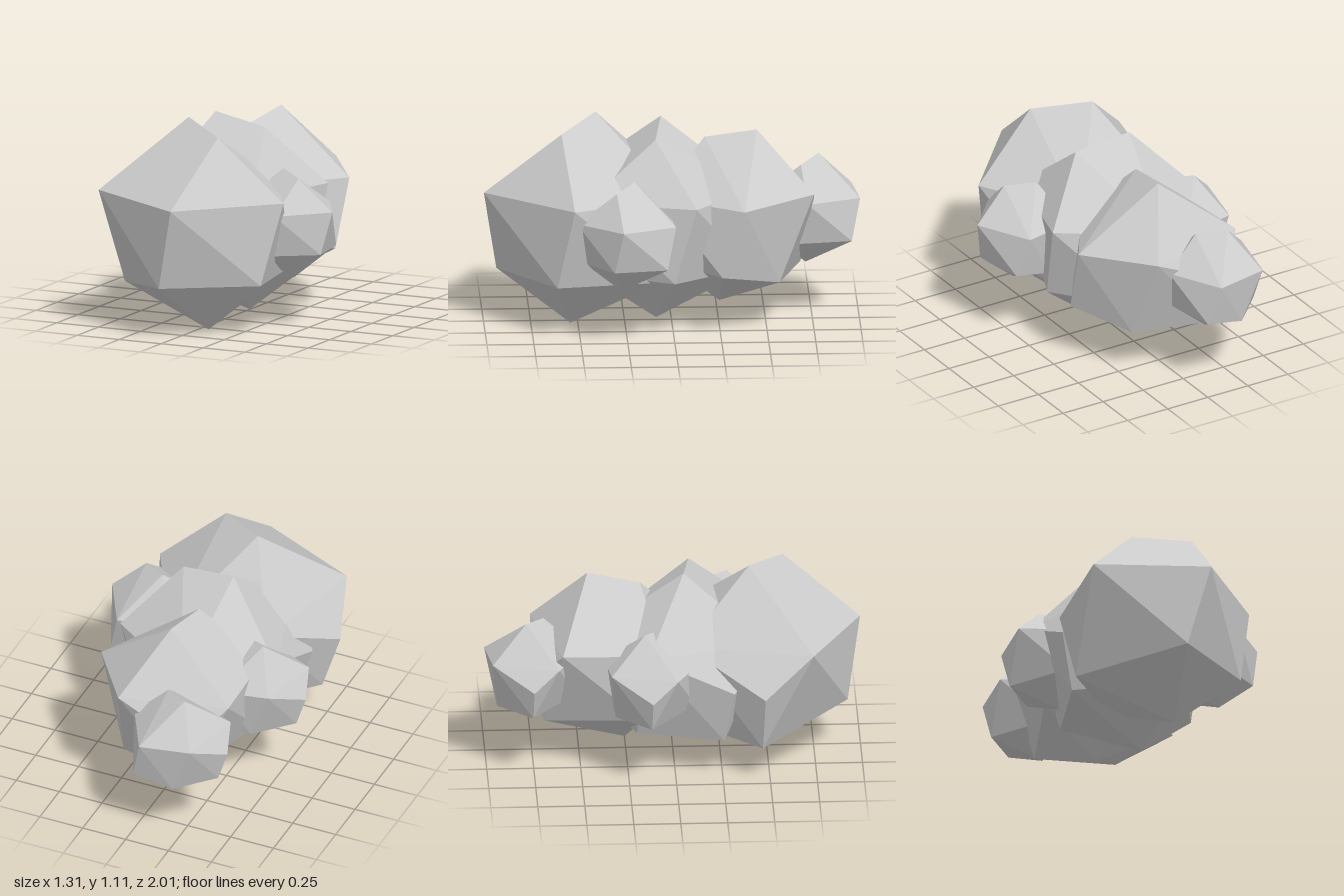
import * as THREE from 'three';
import { ConvexGeometry } from 'three/addons/geometries/ConvexGeometry.js';

// Corners of one faceted boulder, standing on y = 0
const corners = [
  // ridge
  [-0.14, 1.11, 0.40], [0.13, 1.055, 0.59],
  // upper ring
  [0.055, 0.72, 1.0], [0.49, 0.72, 0.53], [0.19, 0.71, -0.02],
  [-0.35, 0.74, 0.05], [-0.51, 0.74, 0.73],
  // side point
  [-0.59, 0.52, 0.47],
  // lower ring
  [-0.05, 0.28, 0.93], [0.40, 0.28, 0.62], [0.30, 0.28, 0.07],
  [-0.13, 0.19, 0.10], [-0.49, 0.20, 0.46],
  // foot
  [0.05, 0, 0.54],
].map(([x, y, z]) => new THREE.Vector3(x + 0.05, y, z - 0.47));

// Each rock: name, scale, turn about y, position
const rocks = [
  ['frontBoulder', 1, 0, [-0.05, 0, 0.47]],
  ['middleBoulder', 0.945, 0.49, [-0.05, 0.03, 0.07]],
  ['backBoulder', 0.85, -1.08, [-0.04, 0.09, -0.36]],
  ['leftStone', 0.515, 0, [0.375, 0.27, 0.245]],
  ['rightStone', 0.515, 0, [-0.38, 0.27, -0.13]],
  ['rearStone', 0.515, 0, [-0.205, 0.27, -0.755]],
];

export function createModel() {
  const group = new THREE.Group();
  group.name = 'rockCluster';
  const geometry = new ConvexGeometry(corners);
  const material = new THREE.MeshStandardMaterial({ color: 0xcccccc, flatShading: true });
  for (const [name, scale, turn, position] of rocks) {
    const rock = new THREE.Mesh(geometry, material);
    rock.name = name;
    rock.scale.setScalar(scale);
    rock.rotation.y = turn;
    rock.position.set(...position);
    group.add(rock);
  }
  return group;
}
